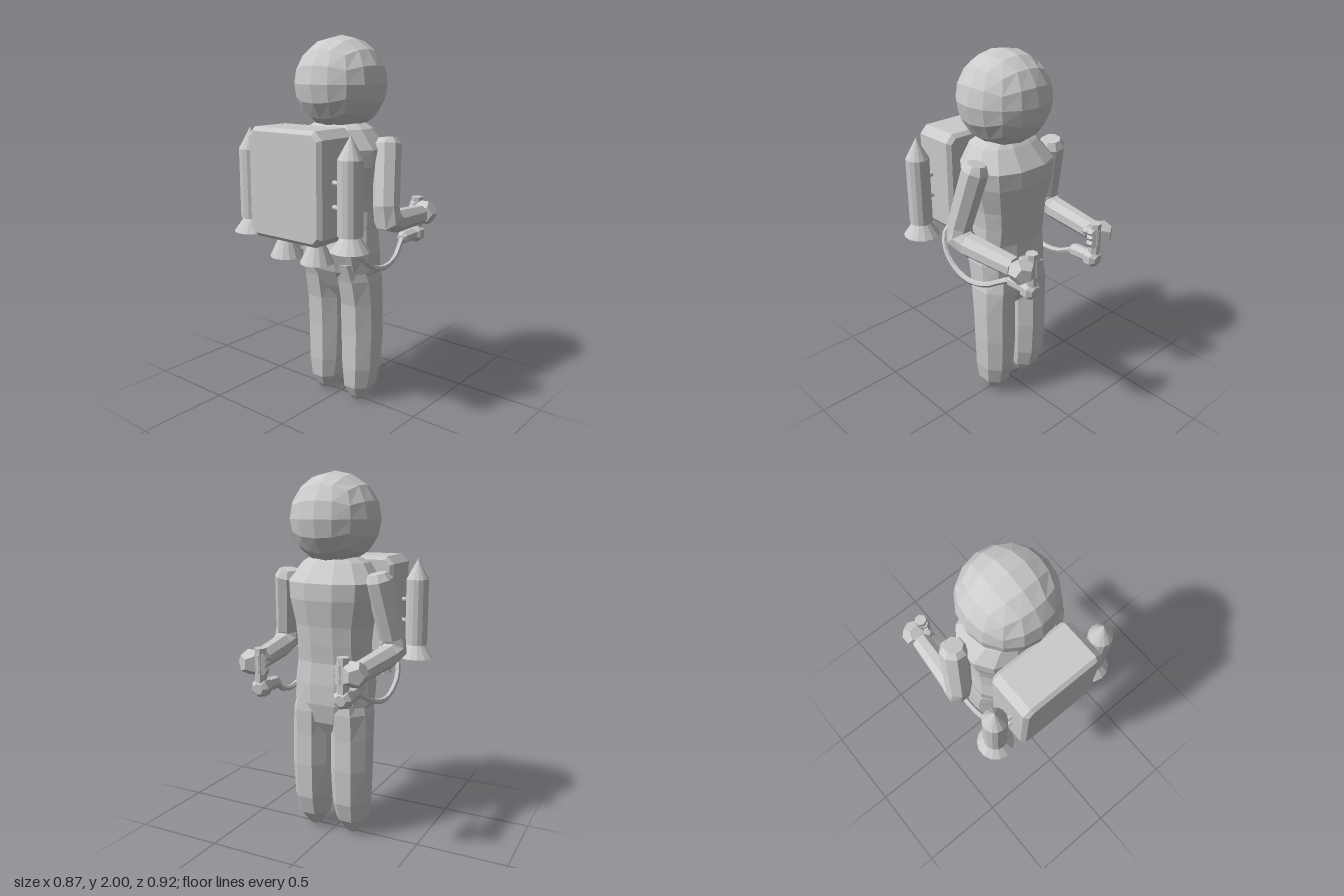
import * as THREE from 'three';

const V = (x, y, z) => new THREE.Vector3(x, y, z);
const mat = new THREE.MeshStandardMaterial({ color: 0xcccccc, flatShading: true });

function add(parent, name, geo, x = 0, y = 0, z = 0) {
  const m = new THREE.Mesh(geo, mat);
  m.name = name;
  m.position.set(x, y, z);
  parent.add(m);
  return m;
}

// Skin a list of equal-sized rings and close both ends; faces are turned outward
function loft(rings) {
  const n = rings[0].length, tris = [];
  const mid = r => r.reduce((s, p) => s.add(p), V(0, 0, 0)).divideScalar(n);
  const first = rings[0], last = rings[rings.length - 1];
  const c0 = mid(first), c1 = mid(last);
  for (let j = 0; j < n; j++) {
    const k = (j + 1) % n;
    for (let i = 0; i < rings.length - 1; i++) {
      const a = rings[i][j], b = rings[i][k], c = rings[i + 1][k], d = rings[i + 1][j];
      tris.push([a, b, c], [a, c, d]);
    }
    tris.push([c0, first[k], first[j]], [c1, last[j], last[k]]);
  }
  const volume = tris.reduce((s, [a, b, c]) => s + a.clone().sub(c0).dot(b.clone().sub(c0).cross(c.clone().sub(c0))), 0);
  if (volume < 0) tris.forEach(t => t.reverse());
  const g = new THREE.BufferGeometry().setFromPoints(tris.flat());
  g.computeVertexNormals();
  return g;
}

// Horizontal sections: [y, centre x, half width, z max, z min]
function sections(list, sides, power) {
  const soft = v => Math.sign(v) * Math.abs(v) ** power;
  return loft(list.map(([y, cx, rx, z1, z0]) => Array.from({ length: sides }, (_, i) => {
    const a = (i + 0.5) / sides * Math.PI * 2;
    return V(cx + rx * soft(Math.cos(a)) * 1.03, y, (z1 + z0) / 2 + (z1 - z0) / 2 * soft(Math.sin(a)) * 1.03);
  })));
}

// Tapered limb along points [x, y, z, radius]
function limb(list, sides) {
  const pts = list.map(p => V(p[0], p[1], p[2]));
  return loft(list.map((p, i) => {
    const before = pts[Math.max(i - 1, 0)], after = pts[Math.min(i + 1, pts.length - 1)];
    const t = after.clone().sub(before).normalize();
    const v = t.clone().cross(V(1, 0, 0)).normalize();
    const u = v.clone().cross(t);
    return Array.from({ length: sides }, (_, j) => {
      const a = (j + 0.5) / sides * Math.PI * 2;
      return pts[i].clone().addScaledVector(u, Math.cos(a) * p[3]).addScaledVector(v, Math.sin(a) * p[3]);
    });
  }));
}

// Ball made from a subdivided cube
function cubeBall(r, n) {
  const g = new THREE.BoxGeometry(2, 2, 2, n, n, n);
  const p = g.attributes.position;
  for (let i = 0; i < p.count; i++) {
    const v = V(p.getX(i), p.getY(i), p.getZ(i));
    for (const k of 'xyz') v[k] = Math.tan(v[k] * Math.PI / 4);
    v.setLength(r);
    p.setXYZ(i, v.x, v.y, v.z);
  }
  g.computeVertexNormals();
  return g;
}

function makePack() {
  const pack = new THREE.Group();
  pack.name = 'backpack';

  // Main case: octagonal outline with bevelled faces
  const w = 0.222, h = 0.262, c = 0.03;
  const outline = new THREE.Shape([
    [-w + c, -h], [w - c, -h], [w, -h + c], [w, h - c],
    [w - c, h], [-w + c, h], [-w, h - c], [-w, -h + c],
  ].map(p => new THREE.Vector2(...p)));
  add(pack, 'packCase', new THREE.ExtrudeGeometry(outline, {
    depth: 0.22, bevelThickness: 0.02, bevelSize: 0.02, bevelSegments: 1,
  }), -0.002, 1.269, 0.22);

  // Side rockets with flared nozzles, brackets and lower thrusters
  const profile = [[0, 0.975], [0.1, 0.975], [0.046, 1.05], [0.063, 1.05], [0.063, 1.42], [0, 1.535]];
  for (const s of [-1, 1]) {
    add(pack, 'sideRocket', new THREE.LatheGeometry(profile.map(p => new THREE.Vector2(...p)), 14), s * 0.336, 0, 0.347);
    for (const y of [1.18, 1.3]) {
      add(pack, 'bracket', new THREE.CylinderGeometry(0.013, 0.013, 0.07, 8), s * 0.26, y, 0.357).rotation.z = Math.PI / 2;
    }
    add(pack, 'lowerThruster', new THREE.CylinderGeometry(0.032, 0.088, 0.125, 14), s * 0.105, 0.932, 0.327);
  }
  return pack;
}

function makeArm(s) {
  const arm = new THREE.Group();
  arm.name = s > 0 ? 'leftArm' : 'rightArm';
  const w = s > 0 ? 0.283 : 0.3;        // wrist distance from the middle
  const side = list => list.map(([x, ...rest]) => [s * x, ...rest]);

  add(arm, 'sleeve', limb(side([
    [0.265, 1.485, -0.05, 0.05], [0.27, 1.45, -0.045, 0.074], [0.32, 1.14, 0.03, 0.07],
    [0.326, 1.075, 0.025, 0.075], [0.322, 1.052, -0.04, 0.063], [w, 1.03, -0.34, 0.055],
  ]), 8));

  // Fist: palm, curled fingers and thumb
  add(arm, 'palm', new THREE.DodecahedronGeometry(0.071), s * (w + 0.003), 1.033, -0.395);
  for (const y of [1.0, 1.035, 1.065]) {
    add(arm, 'finger', new THREE.DodecahedronGeometry(0.04), s * (w - 0.06), y, -0.4);
  }
  add(arm, 'thumb', new THREE.DodecahedronGeometry(0.03), s * (w - 0.05), 1.05, -0.35);

  // Hand control: upright grip on a jointed base
  const hx = w - 0.055;
  add(arm, 'controlGrip', new THREE.CylinderGeometry(0.032, 0.032, 0.215, 7), s * hx, 1.008, -0.405);
  add(arm, 'controlBase', limb(side([
    [hx, 0.9, -0.245, 0.02], [hx, 0.902, -0.265, 0.036], [hx, 0.906, -0.36, 0.036],
    [hx, 0.907, -0.375, 0.052], [hx, 0.905, -0.415, 0.052], [hx, 0.903, -0.438, 0.03],
  ]), 7));

  // Hose from the pack to the control
  const hose = new THREE.CatmullRomCurve3(side([
    [0.22, 1.02, 0.25], [0.262, 0.985, 0.24], [0.288, 0.9, 0.195], [0.292, 0.83, 0.11],
    [0.29, 0.802, 0], [0.275, 0.825, -0.12], [0.25, 0.87, -0.2], [hx, 0.9, -0.26],
  ]).map(p => V(...p)));
  add(arm, 'hose', new THREE.TubeGeometry(hose, 14, 0.015, 6));
  return arm;
}

export function createModel() {
  const model = new THREE.Group();
  model.name = 'jetpackFigure';

  add(model, 'head', cubeBall(0.245, 4), 0.014, 1.755, 0.02);

  // Torso from neck to crotch
  add(model, 'torso', sections([
    [1.57, 0.012, 0.11, 0.11, -0.07], [1.53, 0.012, 0.18, 0.17, -0.11],
    [1.43, 0.01, 0.252, 0.2, -0.19], [1.34, 0.01, 0.245, 0.2, -0.19],
    [1.2, 0.01, 0.212, 0.165, -0.165], [1.1, 0.008, 0.203, 0.145, -0.155],
    [1.0, 0.008, 0.205, 0.155, -0.142], [0.88, 0.01, 0.222, 0.188, -0.15],
    [0.77, 0.01, 0.222, 0.155, -0.148], [0.66, 0.01, 0.17, 0.09, -0.125],
    [0.6, 0.01, 0.08, 0.05, -0.09],
  ], 12, 0.85));

  // Legs tapering to pointed feet
  for (const s of [-1, 1]) {
    const x = 0.01 + s * 0.12;
    add(model, s > 0 ? 'leftLeg' : 'rightLeg', sections([
      [0.82, x - s * 0.01, 0.09, 0.165, -0.135], [0.72, x - s * 0.003, 0.108, 0.135, -0.145],
      [0.58, x, 0.11, 0.108, -0.14], [0.4, x, 0.11, 0.1, -0.143],
      [0.2, x, 0.102, 0.1, -0.132], [0.09, x - s * 0.002, 0.085, 0.092, -0.1],
      [0.03, x, 0.05, 0.062, -0.055], [0, x, 0.03, 0.04, -0.025],
    ], 8, 0.9));
    model.add(makeArm(s));
  }

  model.add(makePack());
  return model;
}
